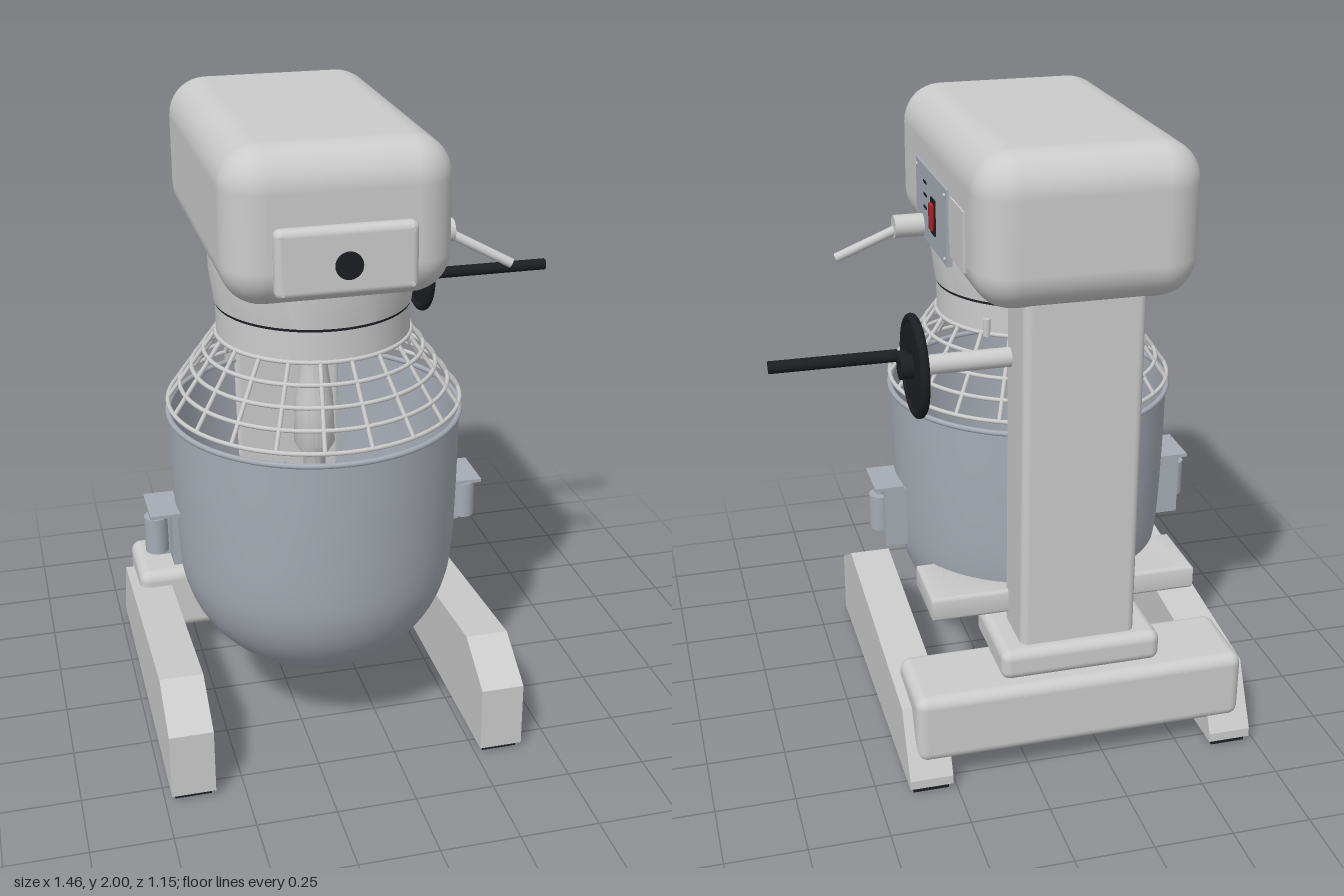
import * as THREE from 'three';
import { RoundedBoxGeometry } from 'three/addons/geometries/RoundedBoxGeometry.js';
import { toCreasedNormals } from 'three/addons/utils/BufferGeometryUtils.js';

const CX = -0.163, CZ = 0.11; // axis of bowl and mixing head

export function createModel() {
  const model = new THREE.Group();
  model.name = 'planetaryMixer';
  const grey = new THREE.MeshStandardMaterial({ color: 0xcccccc });
  const greyOpen = new THREE.MeshStandardMaterial({ color: 0xcccccc, side: THREE.DoubleSide });
  const steel = new THREE.MeshStandardMaterial({ color: 0xa6abb4, side: THREE.DoubleSide });
  const black = new THREE.MeshStandardMaterial({ color: 0x1c1e22 });
  const red = new THREE.MeshStandardMaterial({ color: 0xaa2228 });

  function add(name, geometry, material = grey, parent = model) {
    const mesh = new THREE.Mesh(geometry, material);
    mesh.name = name;
    parent.add(mesh);
    return mesh;
  }
  // Box given by its extents; r > 0 rounds it
  function block(name, [x0, x1], [y0, y1], [z0, z1], r = 0, material = grey, parent = model) {
    const s = [x1 - x0, y1 - y0, z1 - z0];
    const g = r ? new RoundedBoxGeometry(...s, 5, r) : new THREE.BoxGeometry(...s);
    const m = add(name, g, material, parent);
    m.position.set((x0 + x1) / 2, (y0 + y1) / 2, (z0 + z1) / 2);
    return m;
  }
  // Cylinder between two points
  function rod(name, a, b, r, material = grey, parent = model, sides = 24) {
    const p = new THREE.Vector3(...a), q = new THREE.Vector3(...b);
    const m = add(name, new THREE.CylinderGeometry(r, r, p.distanceTo(q), sides), material, parent);
    m.position.copy(p).lerp(q, 0.5);
    m.quaternion.setFromUnitVectors(new THREE.Vector3(0, 1, 0), q.sub(p).normalize());
    return m;
  }
  // Turned part on the mixing axis, points as [radius, y]
  function turned(name, pts, material = grey, crease = 0.6) {
    const g = new THREE.LatheGeometry(pts.map(p => new THREE.Vector2(...p)), 64);
    const m = add(name, toCreasedNormals(g, crease), material);
    m.position.set(CX, 0, CZ);
    return m;
  }

  // Motor housing, front badge plate
  block('motorHousing', [-0.5, 0.17], [1.54, 2], [-0.56, 0.53], 0.12);
  block('frontPlate', [-0.37, 0.04], [1.59, 1.79], [0.515, 0.565], 0.022);
  rod('badge', [CX, 1.68, 0.56], [CX, 1.68, 0.572], 0.04, black, model, 32);
  for (const x of [-0.35, 0.02]) for (const y of [1.61, 1.77])
    rod('plateScrew', [x, y, 0.56], [x, y, 0.569], 0.006, grey, model, 10);

  // Control panel
  block('controlPanel', [0.16, 0.177], [1.585, 1.82], [-0.19, 0.22], 0, steel);
  block('sidePlate', [0.16, 0.175], [1.63, 1.81], [-0.385, -0.225]);
  block('switchFrame', [0.17, 0.182], [1.637, 1.748], [-0.05, 0.004], 0, black);
  block('powerSwitch', [0.17, 0.191], [1.65, 1.735], [-0.042, -0.004], 0.006, red);
  for (const y of [1.69, 1.73, 1.77]) block('panelMark', [0.17, 0.179], [y - 0.004, y + 0.004], [0.07, 0.11], 0, black);
  for (const z of [-0.17, 0.2]) for (const y of [1.605, 1.8])
    rod('panelScrew', [0.17, y, z], [0.182, y, z], 0.006, grey, model, 10);
  rod('speedLeverBoss', [0.15, 1.62, 0.14], [0.27, 1.62, 0.14], 0.036);
  rod('speedLever', [0.25, 1.615, 0.14], [0.445, 1.515, 0.195], 0.015);

  // Neck, seam and planetary shaft
  turned('neck', [[0, 1.34], [0.298, 1.34], [0.298, 1.43], [0.293, 1.43], [0.293, 1.438], [0.302, 1.438], [0.316, 1.545], [0.316, 1.6]]);
  turned('neckSeam', [[0.28, 1.429], [0.2985, 1.429], [0.2985, 1.439], [0.28, 1.439]], black);
  turned('agitatorShaft', [[0, 0.45], [0.035, 0.45], [0.035, 0.9], [0.065, 0.95], [0.06, 1.1], [0.045, 1.2], [0.045, 1.35]]);
  for (const s of [-1, 1]) rod('guardStop', [CX + s * 0.2, 1.33, -0.12], [CX + s * 0.2, 1.385, -0.12], 0.012, grey, model, 10);

  // Wire guard
  const guard = new THREE.Group();
  guard.name = 'wireGuard';
  guard.position.set(CX, 0, CZ);
  model.add(guard);
  for (let i = 0; i < 5; i++) {
    const t = i / 4;
    const ring = add('guardRing', new THREE.TorusGeometry(0.3 + 0.155 * t, 0.007, 8, 72), grey, guard);
    ring.rotation.x = Math.PI / 2;
    ring.position.y = 1.335 - 0.22 * t;
  }
  for (let i = 0; i < 20; i++) {
    const a = (i + 0.5) / 20 * Math.PI * 2, c = Math.cos(a), s = Math.sin(a);
    rod('guardSpoke', [c * 0.295, 1.34, s * 0.295], [c * 0.455, 1.115, s * 0.455], 0.007, grey, guard, 8);
  }

  // Bowl with rolled rim
  const bowl = new THREE.SplineCurve([[0, 0.203], [0.1, 0.207], [0.2, 0.235], [0.3, 0.3], [0.38, 0.395],
    [0.425, 0.5], [0.443, 0.62], [0.452, 0.85], [0.455, 1.08]].map(p => new THREE.Vector2(...p)));
  const bowlPts = bowl.getPoints(40);
  bowlPts[0].x = 0;
  add('bowl', new THREE.LatheGeometry(bowlPts, 72), steel).position.set(CX, 0, CZ);
  const rim = add('bowlRim', new THREE.TorusGeometry(0.456, 0.009, 8, 72), steel);
  rim.rotation.x = Math.PI / 2;
  rim.position.set(CX, 1.077, CZ);

  // Bowl side brackets
  for (const s of [-1, 1]) {
    const bracket = new THREE.Group();
    bracket.name = s > 0 ? 'leftBracket' : 'rightBracket';
    bracket.position.x = CX;
    model.add(bracket);
    const span = (a, b) => s > 0 ? [a, b] : [-b, -a];
    block('bracketPlate', span(0.435, 0.51), [0.565, 0.77], [0.012, 0.035], 0, steel, bracket);
    block('bracketBack', span(0.435, 0.465), [0.565, 0.77], [0.012, 0.115], 0, steel, bracket);
    block('bracketTop', span(0.445, 0.54), [0.767, 0.778], [0.012, 0.178], 0, steel, bracket);
    rod('bracketRoller', [s * 0.512, 0.61, 0.078], [s * 0.512, 0.73, 0.078], 0.037, steel, bracket);
    rod('rollerPin', [s * 0.512, 0.6, 0.078], [s * 0.512, 0.77, 0.078], 0.012, steel, bracket);
  }

  // Column, foot and bowl yoke
  block('column', [-0.345, 0.025], [0.4, 1.64], [-0.5, -0.3], 0.025);
  block('columnFoot', [-0.42, 0.095], [0.34, 0.44], [-0.54, -0.21], 0.03);
  const yoke = new THREE.Shape();
  yoke.moveTo(-0.425, -0.335);
  yoke.lineTo(0.425, -0.335);
  yoke.lineTo(0.425, -0.12);
  yoke.lineTo(0.38, -0.12);
  const a0 = Math.atan2(-0.23, 0.38);
  yoke.absarc(0, CZ, 0.444, a0, -Math.PI - a0, true);
  yoke.lineTo(-0.425, -0.12);
  yoke.closePath();
  const yokeGeo = new THREE.ExtrudeGeometry(yoke, { depth: 0.06, bevelSize: 0.01, bevelThickness: 0.01, bevelSegments: 3, curveSegments: 40 });
  yokeGeo.rotateX(Math.PI / 2);
  add('bowlYoke', toCreasedNormals(yokeGeo, 0.6), greyOpen).position.set(CX, 0.54, 0);

  // Base: cross beam, two sloped legs and their pads
  block('crossBeam', [-0.7, 0.37], [0.09, 0.32], [-0.555, -0.27], 0.035);
  const side = new THREE.Shape([[0.58, 0.02], [0.58, 0.235], [0.41, 0.335], [-0.47, 0.25], [-0.575, 0.05], [-0.575, 0.02]]
    .map(p => new THREE.Vector2(...p)));
  const legGeo = new THREE.ExtrudeGeometry(side, { depth: 0.137, bevelEnabled: false });
  legGeo.rotateY(-Math.PI / 2);
  for (const x of [-0.73, 0.264]) {
    add('baseLeg', legGeo).position.x = x + 0.137;
    for (const z of [-0.525, 0.525]) block('footPad', [x + 0.012, x + 0.125], [0, 0.025], [z - 0.038, z + 0.038], 0, black);
  }

  // Lift handwheel
  const wy = 1.345, wz = -0.345;
  rod('wheelShaft', [0, wy, wz], [0.3, wy, wz], 0.03);
  rod('wheelDisc', [0.303, wy, wz], [0.322, wy, wz], 0.147, black, model, 48);
  const wheelRim = add('wheelRim', new THREE.TorusGeometry(0.141, 0.015, 10, 48), black);
  wheelRim.rotation.y = Math.PI / 2;
  wheelRim.position.set(0.3125, wy, wz);
  rod('wheelHub', [0.3, wy, wz], [0.36, wy, wz], 0.037, black);
  rod('wheelHandleStem', [0.315, wy, -0.25], [0.5, wy, -0.25], 0.014, black);
  rod('wheelHandle', [0.345, wy, -0.25], [0.728, wy, -0.25], 0.019, black);

  return model;
}
